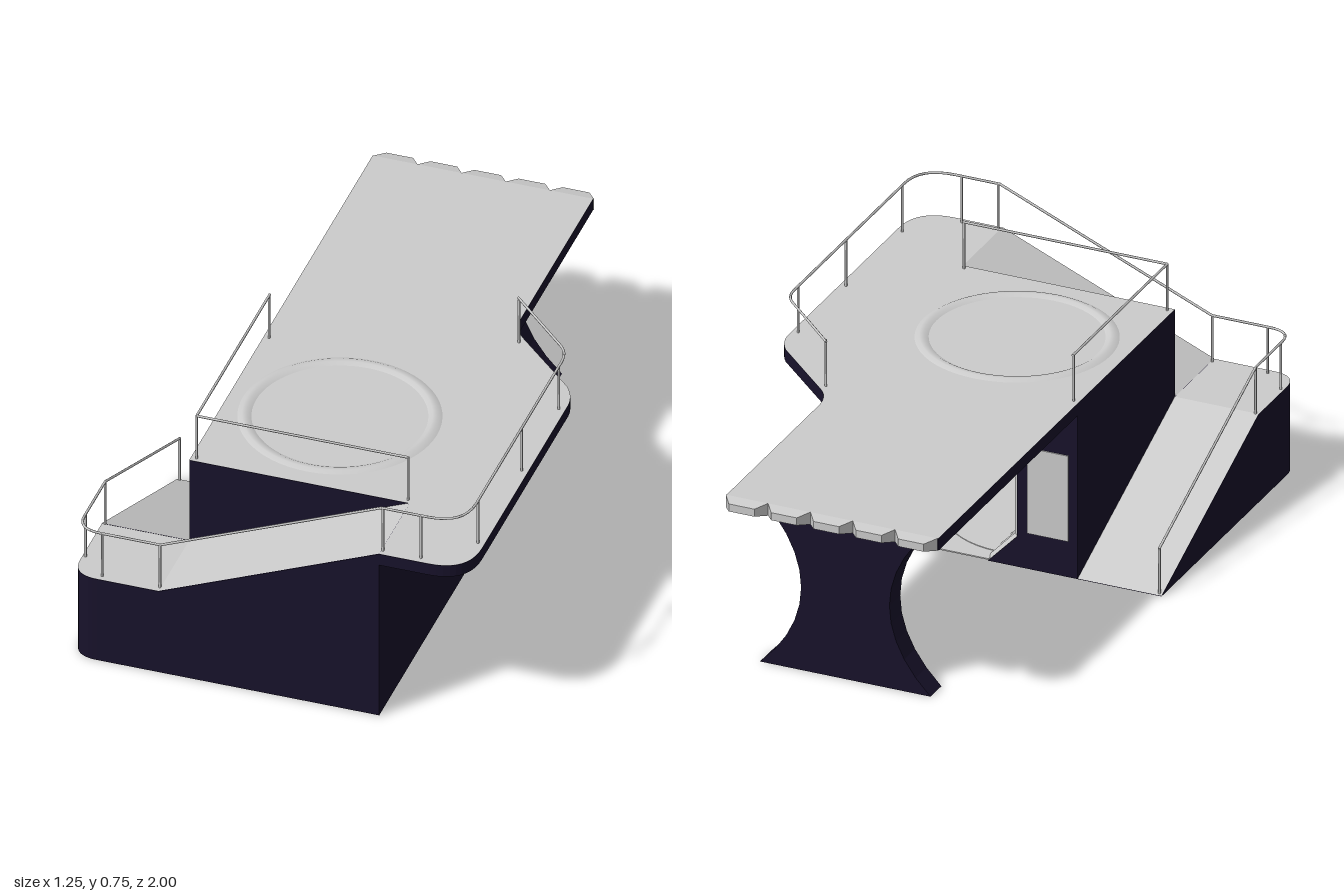
import * as THREE from 'three';
import { ConvexGeometry } from 'three/addons/geometries/ConvexGeometry.js';

const dark = new THREE.MeshStandardMaterial({ color: 0x18122b, side: THREE.DoubleSide });
const grey = new THREE.MeshStandardMaterial({ color: 0xcccccc, side: THREE.DoubleSide });
const ribbed = new THREE.MeshStandardMaterial({ color: 0xcccccc, side: THREE.DoubleSide, flatShading: true });
const V = (x, y, z) => new THREE.Vector3(x, y, z);

export function createModel() {
  const model = new THREE.Group();
  const add = (name, geometry, material, parent = model) => {
    const mesh = new THREE.Mesh(geometry, material);
    mesh.name = name;
    parent.add(mesh);
    return mesh;
  };
  // Box given by its lower and upper corners
  const box = (name, a, b, material) => {
    const g = new THREE.BoxGeometry(b[0] - a[0], b[1] - a[1], b[2] - a[2]);
    g.translate((a[0] + b[0]) / 2, (a[1] + b[1]) / 2, (a[2] + b[2]) / 2);
    return add(name, g, material);
  };
  const polygon = (pts) => new THREE.Shape(pts.map((p) => new THREE.Vector2(p[0], p[1])));
  const extrude = (shape, depth) => new THREE.ExtrudeGeometry(shape, { depth, bevelEnabled: false, curveSegments: 10 });
  // Plan shapes are drawn in (x, -z) and laid flat
  const plan = (name, shape, y0, y1) => {
    add(name, extrude(shape, y1 - y0).rotateX(-Math.PI / 2).translate(0, y0, 0), dark);
    add(name + 'Top', new THREE.ShapeGeometry(shape, 10).rotateX(-Math.PI / 2).translate(0, y1 + 0.001, 0), grey);
  };

  // Upper deck with its narrow bridge and widened side terrace
  const deck = new THREE.Shape();
  deck.moveTo(-0.35, -0.72);
  deck.lineTo(0.345, -0.72);
  deck.lineTo(0.345, -1);
  deck.lineTo(0.5, -1);
  deck.quadraticCurveTo(0.625, -1, 0.625, -0.87);
  deck.lineTo(0.625, -0.08);
  deck.quadraticCurveTo(0.622, -0.03, 0.59, 0.01);
  deck.lineTo(0.385, 0.205);
  deck.quadraticCurveTo(0.345, 0.245, 0.345, 0.31);
  deck.lineTo(0.345, 0.962);
  deck.lineTo(-0.35, 0.962);
  deck.closePath();
  plan('deck', deck, 0.545, 0.585);

  // Tapered teeth at the bridge end
  const pitch = 0.139;
  for (let i = -2; i <= 2; i++) {
    const pts = [];
    for (const s of [-1, 1]) {
      for (const y of [0.545, 0.586]) pts.push(V(i * pitch + s * pitch / 2, y, -0.962));
      for (const y of [0.553, 0.578]) pts.push(V(i * pitch + s * 0.042, y, -1));
    }
    add('bridgeTooth', new ConvexGeometry(pts), ribbed);
  }

  // Raised ring on the deck
  const ringProfile = [[0.308, 0.585], [0.292, 0.593], [0.277, 0.593], [0.262, 0.585]];
  add('deckRing', new THREE.LatheGeometry(ringProfile.map((p) => new THREE.Vector2(...p)), 64), grey)
    .position.set(0, 0, 0.357);

  // Hourglass bridge pier
  const pier = new THREE.Shape();
  pier.moveTo(-0.28, 0);
  pier.lineTo(0.28, 0);
  pier.bezierCurveTo(0.1, 0.17, 0.1, 0.38, 0.28, 0.55);
  pier.lineTo(-0.28, 0.55);
  pier.bezierCurveTo(-0.1, 0.38, -0.1, 0.17, -0.28, 0);
  add('bridgePier', extrude(pier, 0.077).translate(0, 0, -0.865), dark);

  // Hollow main block; the back wall has an eight-sided opening
  const cx = 0.075;
  const arch = [[0.13, 0], [0.225, 0.1], [0.225, 0.4], [0.13, 0.5], [-0.13, 0.5], [-0.225, 0.4], [-0.225, 0.1], [-0.13, 0]];
  const back = polygon([[-0.35, 0], [cx - 0.13, 0], ...arch.slice(1, 7).reverse().map((p) => [cx + p[0], p[1]]),
    [cx + 0.13, 0], [0.345, 0], [0.345, 0.55], [-0.35, 0.55]]);
  add('backWall', extrude(back, 0.01).translate(0, 0, 0.03), dark);
  box('leftWall', [0.335, 0, 0.04], [0.345, 0.55, 0.72], dark);
  box('rightWall', [-0.35, 0, 0.04], [-0.34, 0.55, 0.72], dark);
  box('frontWall', [-0.35, 0, 0.71], [0.345, 0.55, 0.72], dark);
  box('doorPanel', [-0.32, 0.12, 0.026], [-0.185, 0.405, 0.03], grey);

  // Ribbed tunnel: the opening's outline swept inwards with a zigzag size
  const steps = 18, pos = [], index = [];
  for (let i = 0; i <= steps; i++) {
    const s = i % 2 ? 0.89 : 1;
    for (const [x, y] of arch) pos.push(cx + x * s, y * s, 0.035 + 0.64 * i / steps);
    for (let j = 0; j < 7 && i < steps; j++) {
      const a = i * 8 + j;
      index.push(a, a + 1, a + 8, a + 1, a + 9, a + 8);
    }
  }
  const tunnel = new THREE.BufferGeometry();
  tunnel.setAttribute('position', new THREE.Float32BufferAttribute(pos, 3));
  tunnel.setIndex(index);
  tunnel.computeVertexNormals();
  add('ribbedTunnel', tunnel, ribbed);
  box('tunnelFloor', [cx - 0.13, 0, 0.035], [cx + 0.13, 0.004, 0.675], grey);
  add('liftFloor', new THREE.CylinderGeometry(0.27, 0.27, 0.004, 48), grey).position.set(-0.06, 0.004, 0.36);

  // Landing with a rounded outer corner
  const landing = new THREE.Shape();
  landing.moveTo(-0.35, -0.72);
  landing.lineTo(-0.625, -0.72);
  landing.lineTo(-0.625, -0.92);
  landing.quadraticCurveTo(-0.625, -1, -0.545, -1);
  landing.lineTo(-0.35, -1);
  landing.closePath();
  plan('landing', landing, 0, 0.293);

  // Front ramp up to the deck, and rear ramp up to the landing
  const slope = (name, corners) => {
    const g = new THREE.BufferGeometry().setFromPoints(corners);
    g.setIndex([0, 1, 2, 0, 2, 3]);
    g.computeVertexNormals();
    add(name, g, grey);
  };
  const frontRamp = polygon([[-0.35, 0], [0.345, 0], [0.345, 0.585], [-0.35, 0.293]]);
  add('frontRamp', extrude(frontRamp, 0.28).translate(0, 0, 0.72), dark);
  slope('frontRampTop', [V(-0.35, 0.295, 1), V(0.345, 0.587, 1), V(0.345, 0.587, 0.72), V(-0.35, 0.295, 0.72)]);
  const rearRamp = polygon([[-0.72, 0], [-0.03, 0], [-0.72, 0.293]]);
  add('rearRamp', extrude(rearRamp, 0.275).rotateY(Math.PI / 2).translate(-0.625, 0, 0), dark);
  slope('rearRampTop', [V(-0.625, 0.295, 0.72), V(-0.35, 0.295, 0.72), V(-0.35, 0.002, 0.03), V(-0.625, 0.002, 0.03)]);

  // Railings: thin bars joining a list of points, with posts below
  const rails = new THREE.Group();
  rails.name = 'railings';
  model.add(rails);
  const bar = (name, a, b) => {
    const d = b.clone().sub(a);
    const m = add(name, new THREE.CylinderGeometry(0.004, 0.004, d.length() + 0.003, 6), grey, rails);
    m.position.copy(a).addScaledVector(d, 0.5);
    m.quaternion.setFromUnitVectors(V(0, 1, 0), d.normalize());
  };
  const handrail = (pts) => pts.slice(1).forEach((p, i) => bar('handrail', pts[i], p));
  const bend = (a, b, c) => new THREE.QuadraticBezierCurve3(a, b, c).getPoints(8);
  const H = 0.74, L = 0.448, h = 0.155;
  handrail([
    V(0.375, H, -0.19),
    ...bend(V(0.575, H, 0.005), V(0.605, H, 0.035), V(0.605, H, 0.085)),
    ...bend(V(0.605, H, 0.865), V(0.605, H, 0.98), V(0.49, H, 0.98)),
    V(0.345, H, 0.98), V(-0.352, L, 0.98),
    ...bend(V(-0.54, L, 0.98), V(-0.615, L, 0.98), V(-0.615, L, 0.91)),
    V(-0.615, L, 0.72), V(-0.615, h, 0.035),
  ]);
  handrail([V(-0.332, H, 0.035), V(-0.332, H, 0.705), V(0.337, H, 0.705)]);
  const posts = [
    [0.38, H, -0.18], [0.605, H, 0.11], [0.605, H, 0.45], [0.605, H, 0.85], [0.47, H, 0.98], [0.35, H, 0.98],
    [-0.353, L, 0.98], [-0.535, L, 0.98], [-0.615, L, 0.9], [-0.615, L, 0.72], [-0.615, h, 0.038],
    [-0.332, H, 0.04], [-0.332, H, 0.705], [0.335, H, 0.705],
  ];
  for (const [x, y, z] of posts) bar('railPost', V(x, y - h, z), V(x, y, z));

  return model;
}
